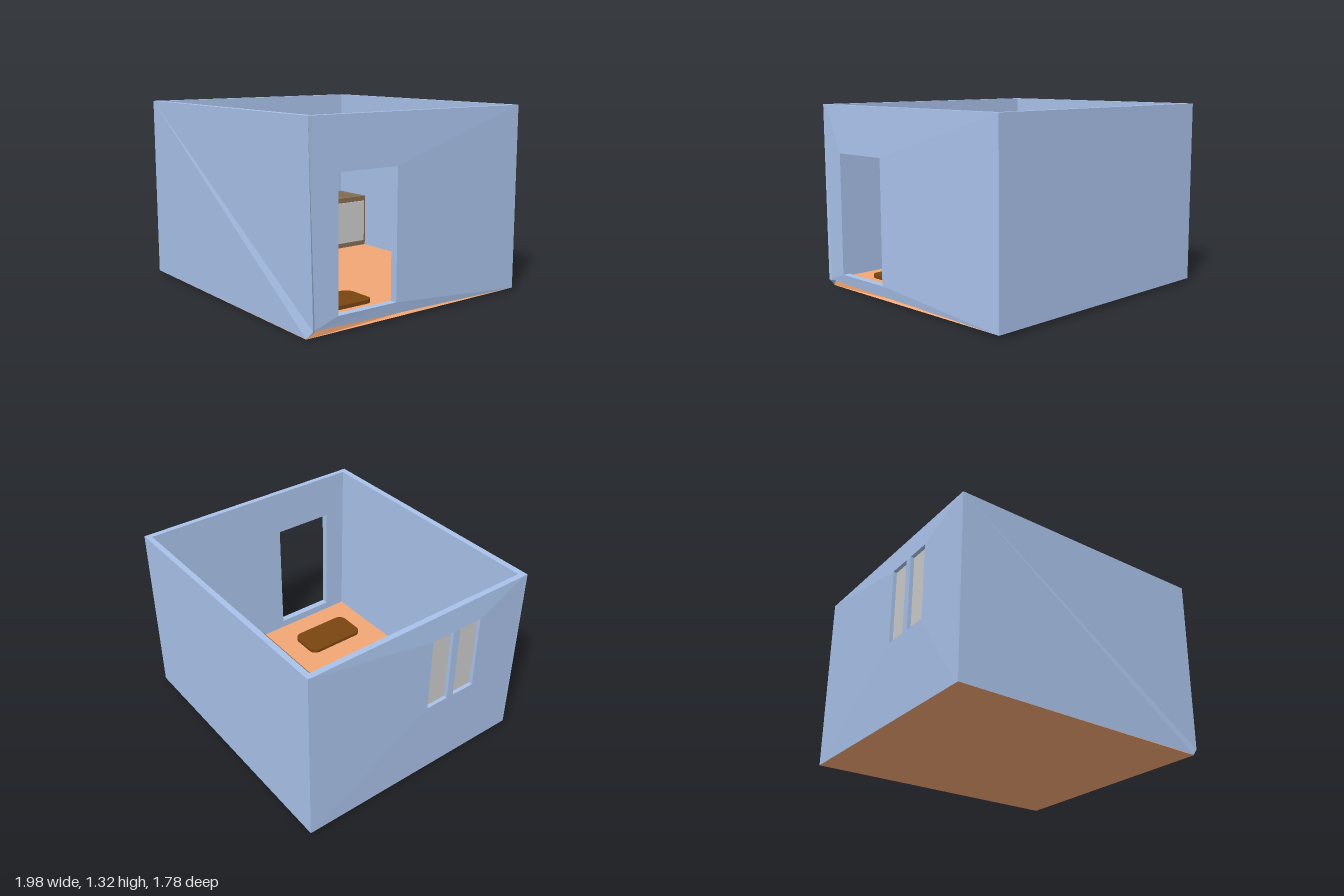
import * as THREE from 'three';

const mat = (color, side = THREE.FrontSide) => new THREE.MeshStandardMaterial({ color, side, flatShading: true });
const blue = mat(0xa9c2ea), orange = mat(0xf2a674), wood = mat(0x866e54), woodOpen = mat(0x866e54, THREE.DoubleSide);
const green = mat(0xa6eba6), rugBrown = mat(0x7a4410), black = mat(0x484848), ring = mat(0x6e6e6e);
const grey = new THREE.MeshStandardMaterial({ color: 0xcccccc });

export function createModel() {
  const root = new THREE.Group();
  const add = (name, geo, m, parent = root) => {
    const mesh = new THREE.Mesh(geo, m);
    mesh.name = name;
    parent.add(mesh);
    return mesh;
  };
  const group = (name) => {
    const g = new THREE.Group();
    g.name = name;
    root.add(g);
    return g;
  };
  // box given by its limits on each axis
  const box = (name, [x0, x1], [y0, y1], [z0, z1], m, parent) => {
    const mesh = add(name, new THREE.BoxGeometry(x1 - x0, y1 - y0, z1 - z0), m, parent);
    mesh.position.set((x0 + x1) / 2, (y0 + y1) / 2, (z0 + z1) / 2);
    return mesh;
  };
  // flat-faced solid from corners and polygons, each fanned from its first corner
  const solid = (corners, faces) => {
    const pos = [];
    for (const f of faces)
      for (let i = 1; i < f.length - 1; i++) pos.push(...corners[f[0]], ...corners[f[i]], ...corners[f[i + 1]]);
    const g = new THREE.BufferGeometry();
    g.setAttribute('position', new THREE.Float32BufferAttribute(pos, 3));
    g.computeVertexNormals();
    return g;
  };
  const rect = (T, a0, a1, b0, b1) =>
    new T([[a0, b0], [a1, b0], [a1, b1], [a0, b1]].map(([a, b]) => new THREE.Vector2(a, b)));

  // floor slab, its front left corner pulled down and in
  add('floor', solid([
    [-0.98, 0.025, 0.885], [0.94, 0, 0.88], [0.98, 0.025, -0.89], [-0.98, 0.025, -0.89],
    [-0.94, 0.06, 0.85], [0.94, 0.06, 0.85], [0.94, 0.06, -0.85], [-0.94, 0.06, -0.85],
  ], [[4, 5, 6, 7], [3, 2, 1, 0], [0, 1, 5, 4], [1, 2, 6, 5], [2, 3, 7, 6], [3, 0, 4, 7]]), orange);

  // front wall with a diagonal fold down to the pulled corner
  add('frontWall', solid([
    [-0.98, 1.32, 0.89], [-0.98, 0.025, 0.885], [0.94, 0.003, 0.88], [0.99, 0.055, 0.865], [0.98, 1.32, 0.89],
    [-0.98, 1.32, 0.845], [-0.98, 0.025, 0.845], [0.98, 0.05, 0.845], [0.98, 1.32, 0.845],
  ], [[0, 1, 2, 3, 4], [5, 8, 7, 6], [0, 4, 8, 5], [0, 5, 6, 1], [4, 3, 7, 8], [1, 6, 7, 2], [2, 7, 3]]), blue);
  box('backWall', [-0.98, 0.98], [0.025, 1.32], [-0.89, -0.85], blue);

  // side walls: outline in (z, y), openings bulge slightly outward
  const sideWall = (name, sign, frontBottom, openings) => {
    const s = new THREE.Shape([[0.86, frontBottom], [0.86, 1.32], [-0.89, 1.32], [-0.89, 0.025]]
      .map(([z, y]) => new THREE.Vector2(-z, y)));
    for (const [z0, z1, y0, y1] of openings) s.holes.push(rect(THREE.Path, -z1, -z0, y0, y1));
    const g = new THREE.ExtrudeGeometry(s, { depth: 0.04, bevelEnabled: false });
    g.rotateY(Math.PI / 2).translate(sign > 0 ? 0.94 : -0.98, 0, 0);
    const p = g.attributes.position;
    for (let i = 0; i < p.count; i++) {
      const z = p.getZ(i), y = p.getY(i);
      const opening = y > 0.1 && y < 1.3 && z > 0 && z < 0.8;
      if (Math.abs(p.getX(i)) > 0.96 && (opening || y === frontBottom && frontBottom > 0.03)) p.setX(i, sign * 0.992);
    }
    g.computeVertexNormals();
    return add(name, g, blue);
  };
  const windows = [[0.06, 0.235, 0.6, 1.15], [0.29, 0.47, 0.6, 1.15]];
  sideWall('doorWall', 1, 0.055, [[0.22, 0.68, 0.12, 0.985]]);
  sideWall('windowWall', -1, 0.025, windows);
  for (const [z0, z1, y0, y1] of windows) box('windowPane', [-0.965, -0.955], [y0, y1], [z0, z1], grey);

  // base cabinets with a worktop cut out for the sink
  const base = group('baseCabinets');
  box('cabinetBody', [-0.94, -0.61], [0.06, 0.38], [-0.85, 0.32], wood, base);
  const top = rect(THREE.Shape, -0.94, -0.61, -0.32, 0.85);
  top.holes.push(rect(THREE.Path, -0.9, -0.65, 0.51, 0.79));
  add('worktop', new THREE.ExtrudeGeometry(top, { depth: 0.1, bevelEnabled: false })
    .rotateX(-Math.PI / 2).translate(0, 0.38, 0), wood, base);
  for (const [z0, z1] of [[-0.83, -0.49], [-0.435, -0.1], [-0.04, 0.285]])
    box('cabinetDoor', [-0.61, -0.6], [0.1, 0.44], [z0, z1], grey, base);

  // sink basin, drain and tap
  const sink = group('sink');
  add('basin', new THREE.CylinderGeometry(Math.SQRT1_2, 0.8 * Math.SQRT1_2, 0.095, 4, 1, true)
    .rotateY(Math.PI / 4).scale(0.25, 1, 0.28).translate(-0.775, 0.432, -0.65), woodOpen, sink);
  add('drain', new THREE.CylinderGeometry(0.035, 0.035, 0.01, 24).translate(-0.775, 0.387, -0.65), grey, sink);
  const tapPath = new THREE.CatmullRomCurve3([[0.48, -0.44], [0.56, -0.45], [0.58, -0.5], [0.55, -0.55]]
    .map(([y, z]) => new THREE.Vector3(-0.87, y, z)));
  add('tap', new THREE.TubeGeometry(tapPath, 16, 0.01, 8), grey, sink);

  // hob with two rings and two knobs
  const hob = group('hob');
  box('hobPlate', [-0.88, -0.665], [0.48, 0.495], [-0.23, 0.265], black, hob);
  const disc = (name, r, x, z, m) =>
    add(name, new THREE.CylinderGeometry(r, r, 0.006, 32).translate(x, 0.496, z), m, hob);
  for (const z of [-0.105, 0.14]) disc('hobRing', 0.068, -0.775, z, ring);
  for (const z of [-0.035, 0.055]) disc('hobKnob', 0.016, -0.695, z, grey);

  // wall cabinets: body, frame with openings, and recessed panes
  const upper = group('wallCabinets');
  const Y = [0.9, 1.12], P = [0.92, 1.1];
  box('sideRunBody', [-0.94, -0.785], Y, [-0.85, -0.21], wood, upper);
  box('backRunBody', [-0.94, -0.245], Y, [-0.85, -0.72], wood, upper);
  const frame = (a0, a1, panes) => {
    const s = rect(THREE.Shape, a0, a1, ...Y);
    for (const [p0, p1] of panes) s.holes.push(rect(THREE.Path, p0, p1, ...P));
    return new THREE.ExtrudeGeometry(s, { depth: 0.015, bevelEnabled: false });
  };
  const sidePanes = [[-0.42, -0.23], [-0.69, -0.455]];
  const backPanes = [[-0.755, -0.595], [-0.57, -0.42], [-0.39, -0.26]];
  add('sideRunFrame', frame(0.21, 0.85, sidePanes.map(([a, b]) => [-b, -a]))
    .rotateY(Math.PI / 2).translate(-0.785, 0, 0), wood, upper);
  add('backRunFrame', frame(-0.77, -0.245, backPanes).translate(0, 0, -0.72), wood, upper);
  for (const z of sidePanes) box('cabinetPane', [-0.79, -0.78], P, z, grey, upper);
  for (const x of backPanes) box('cabinetPane', x, P, [-0.725, -0.715], grey, upper);

  // refrigerator
  const fridge = group('refrigerator');
  box('fridgeBody', [0.04, 0.44], [0.06, 0.838], [-0.848, -0.598], green, fridge);
  box('fridgeHandle', [0.065, 0.075], [0.67, 0.75], [-0.6, -0.57], black, fridge);

  // rug with rounded corners
  const rug = new THREE.Shape(), r = 0.06;
  const [x0, x1, z0, z1] = [0.475, 0.75, -0.69, -0.2];
  rug.absarc(x1 - r, z1 - r, r, 0, Math.PI / 2);
  rug.absarc(x0 + r, z1 - r, r, Math.PI / 2, Math.PI);
  rug.absarc(x0 + r, z0 + r, r, Math.PI, Math.PI * 1.5);
  rug.absarc(x1 - r, z0 + r, r, Math.PI * 1.5, Math.PI * 2);
  add('rug', new THREE.ExtrudeGeometry(rug, { depth: 0.025, bevelEnabled: false })
    .rotateX(-Math.PI / 2).translate(0, 0.06, 0), rugBrown);

  return root;
}
